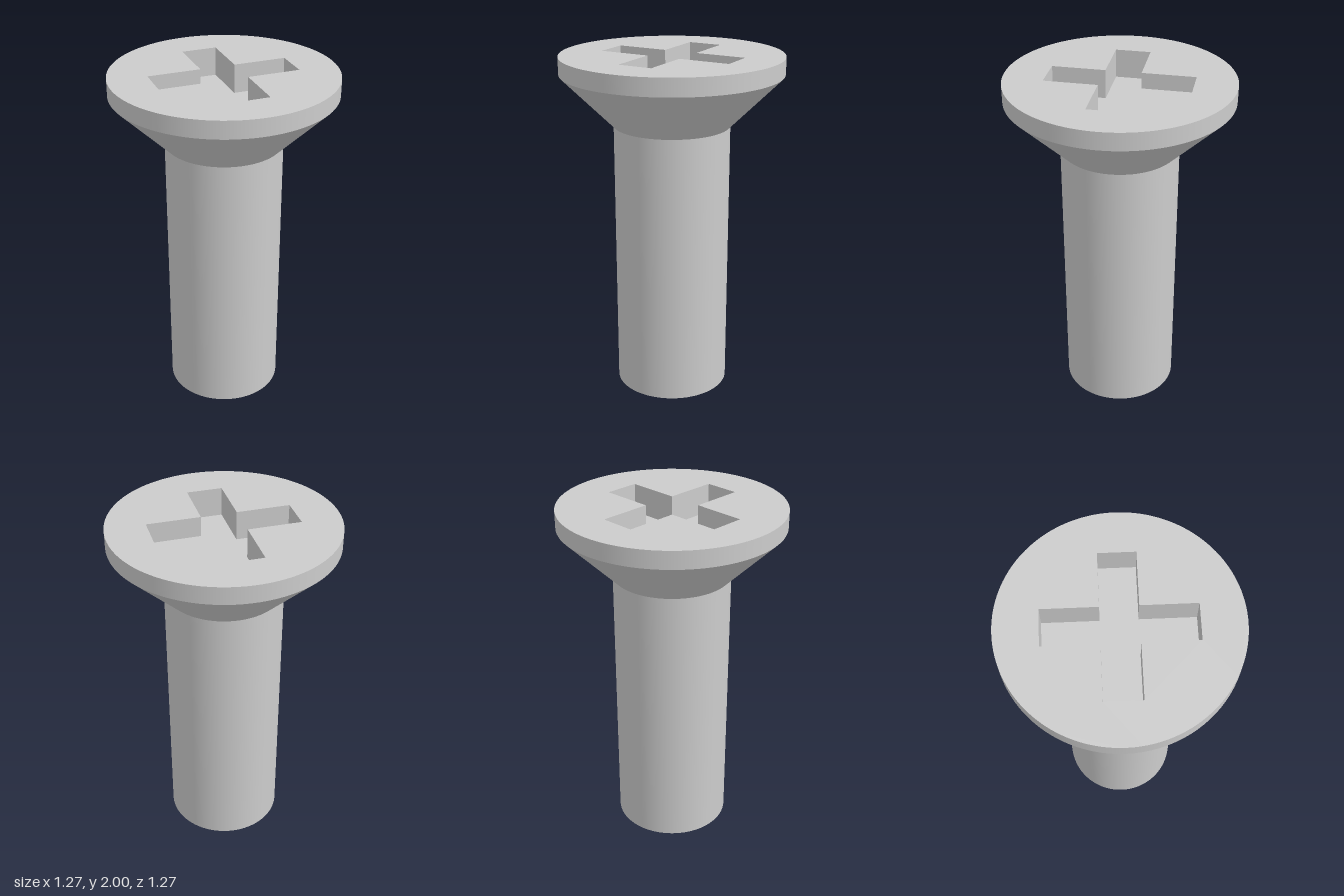
import * as THREE from 'three';

const SEGMENTS = 96;
const HEAD_R = 0.633, SHAFT_R = 0.333;
const TOP = 2, RIM_BOTTOM = 1.9, NECK = 1.6, RECESS_DEPTH = 0.166;

export function createModel() {
  const model = new THREE.Group();
  model.name = 'countersunkScrew';
  const steel = new THREE.MeshStandardMaterial({ color: 0xcccccc });
  steel.name = 'steel grey';

  const add = (name, geometry, y, parent = model) => {
    const mesh = new THREE.Mesh(geometry, steel);
    mesh.name = name;
    mesh.position.y = y;
    parent.add(mesh);
    return mesh;
  };
  // Open-ended round section between two heights
  const round = (name, rTop, rBottom, y0, y1) =>
    add(name, new THREE.CylinderGeometry(rTop, rBottom, y1 - y0, SEGMENTS, 1, true), (y0 + y1) / 2);

  // Shaft, countersunk cone and rim of the head
  round('shaft', SHAFT_R, SHAFT_R, 0, NECK);
  round('headCone', HEAD_R, SHAFT_R, NECK, RIM_BOTTOM);
  round('headRim', HEAD_R, HEAD_R, RIM_BOTTOM, TOP);
  add('shaftEnd', new THREE.CircleGeometry(SHAFT_R, SEGMENTS).rotateX(Math.PI / 2), 0);

  // Cross outline, counter-clockwise: three corners per arm
  const a = 0.1, b = 0.4;
  const cross = [];
  for (let i = 0; i < 4; i++) {
    for (const [x, y] of [[b, -a], [b, a], [a, a]]) {
      cross.push(new THREE.Vector2(x, y).rotateAround(new THREE.Vector2(), i * Math.PI / 2));
    }
  }

  // Flat top with the cross cut out
  const face = new THREE.Shape().absarc(0, 0, HEAD_R, 0, Math.PI * 2);
  face.holes.push(new THREE.Path(cross).closePath());
  add('headTop', new THREE.ShapeGeometry(face, SEGMENTS).rotateX(-Math.PI / 2), TOP);

  // Driver recess: floor and inward-facing walls
  const recess = new THREE.Group();
  recess.name = 'driverRecess';
  model.add(recess);
  add('recessFloor', new THREE.ShapeGeometry(new THREE.Shape(cross)).rotateX(-Math.PI / 2),
    TOP - RECESS_DEPTH, recess);
  cross.forEach((p, i) => {
    const q = cross[(i + 1) % cross.length];
    const wall = add('recessWall', new THREE.PlaneGeometry(p.distanceTo(q), RECESS_DEPTH),
      TOP - RECESS_DEPTH / 2, recess);
    wall.position.x = (p.x + q.x) / 2;
    wall.position.z = -(p.y + q.y) / 2;
    wall.rotation.y = Math.atan2(p.y - q.y, p.x - q.x);
  });

  return model;
}
